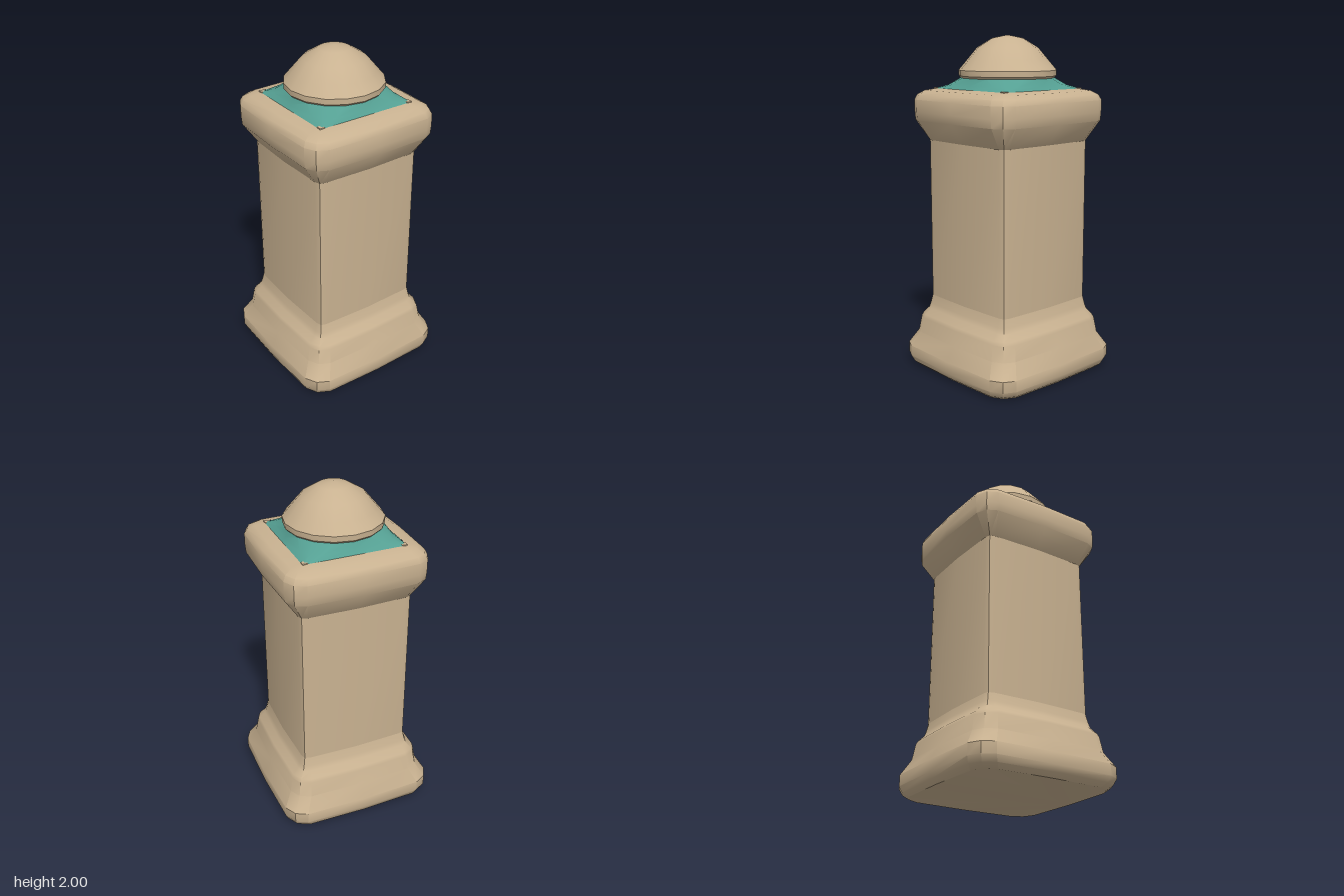
import * as THREE from 'three';
import { toCreasedNormals } from 'three/addons/utils/BufferGeometryUtils.js';

const SIDES = 16;

// Sixteen-point square ring with chamfered corners and slightly bowed sides:
// half width h, corner cut c, bow b, height y
function squareRing(h, c, y, b = 0.01) {
  const quarter = [[h, 0], [h - b, h - c], [h - 0.4 * c, h - 0.4 * c], [h - c, h - b]];
  const ring = [];
  for (let q = 0; q < 4; q++) {
    for (let [x, z] of quarter) {
      for (let k = 0; k < q; k++) [x, z] = [-z, x];
      ring.push(new THREE.Vector3(x, y, z));
    }
  }
  return ring;
}

function circleRing(r, y) {
  return Array.from({ length: SIDES }, (_, i) => {
    const a = (i / SIDES) * Math.PI * 2;
    return new THREE.Vector3(r * Math.cos(a), y, r * Math.sin(a));
  });
}

// Skin a stack of rings, listed from bottom to top
function loft(rings, closeBottom, crease) {
  const pos = rings.flat().flatMap((p) => [p.x, p.y, p.z]);
  const index = [];
  for (let j = 0; j < rings.length - 1; j++) {
    for (let i = 0; i < SIDES; i++) {
      const n = (i + 1) % SIDES;
      const a = j * SIDES + i, b = j * SIDES + n;
      index.push(a, a + SIDES, b, b, a + SIDES, b + SIDES);
    }
  }
  if (closeBottom) {
    for (let i = 1; i < SIDES - 1; i++) index.push(0, i, i + 1);
  }
  const geo = new THREE.BufferGeometry();
  geo.setAttribute('position', new THREE.Float32BufferAttribute(pos, 3));
  geo.setIndex(index);
  return toCreasedNormals(geo, crease);
}

export function createModel() {
  const group = new THREE.Group();
  const stone = new THREE.MeshStandardMaterial({ name: 'sandstone', color: 0xc9b291 });
  const teal = new THREE.MeshStandardMaterial({ name: 'teal', color: 0x55a093, side: THREE.DoubleSide });

  function add(name, geo, mat) {
    const mesh = new THREE.Mesh(geo, mat);
    mesh.name = name;
    group.add(mesh);
    return mesh;
  }
  const rings = (rows) => rows.map((row) => squareRing(...row));

  // Stepped base
  add('base', loft(rings([
    [0.435, 0.11, 0], [0.465, 0.115, 0.025], [0.48, 0.115, 0.06], [0.48, 0.115, 0.125],
    [0.43, 0.105, 0.21], [0.415, 0.1, 0.3], [0.405, 0.095, 0.32], [0.37, 0.07, 0.355],
    [0.358, 0.06, 0.385], [0.345, 0.05, 0.435],
  ]), true, 0.6), stone);

  // Straight shaft
  add('shaft', loft(rings([[0.345, 0.05, 0.435], [0.345, 0.05, 1.39]]), false, 0.6), stone);

  // Flared cap
  add('cap', loft(rings([
    [0.345, 0.05, 1.39], [0.425, 0.1, 1.51], [0.43, 0.105, 1.56], [0.43, 0.105, 1.63],
    [0.415, 0.1, 1.66], [0.375, 0.08, 1.683], [0.305, 0.03, 1.694, 0],
  ]), false, 0.6), stone);

  // Teal collar, blending from a square to a circle
  const foot = squareRing(0.305, 0.03, 1.692, 0).map((p, i) =>
    i % 4 === 2 ? new THREE.Vector3(Math.sign(p.x) * 0.305, p.y, Math.sign(p.z) * 0.305) : p);
  const neck = circleRing(0.272, 1.757);
  const middle = foot.map((p, i) => p.clone().lerp(neck[i], 0.55).setY(1.716));
  add('collar', loft([foot, middle, neck], false, 0.7), teal);

  // Small stone corners on the collar
  for (const sx of [-1, 1]) {
    for (const sz of [-1, 1]) {
      const corner = add('collarCorner', new THREE.BoxGeometry(0.03, 0.009, 0.03), stone);
      corner.position.set(sx * 0.29, 1.694, sz * 0.29);
    }
  }

  // Domed finial
  const profile = [
    [0, 1.755], [0.272, 1.755], [0.285, 1.768], [0.286, 1.8], [0.238, 1.857],
    [0.178, 1.928], [0.09, 1.982], [0, 2],
  ].map(([r, y]) => new THREE.Vector2(r, y));
  const dome = new THREE.LatheGeometry(profile, SIDES);
  dome.deleteAttribute('normal');
  dome.deleteAttribute('uv');
  add('dome', toCreasedNormals(dome, 0.7), stone);

  return group;
}
